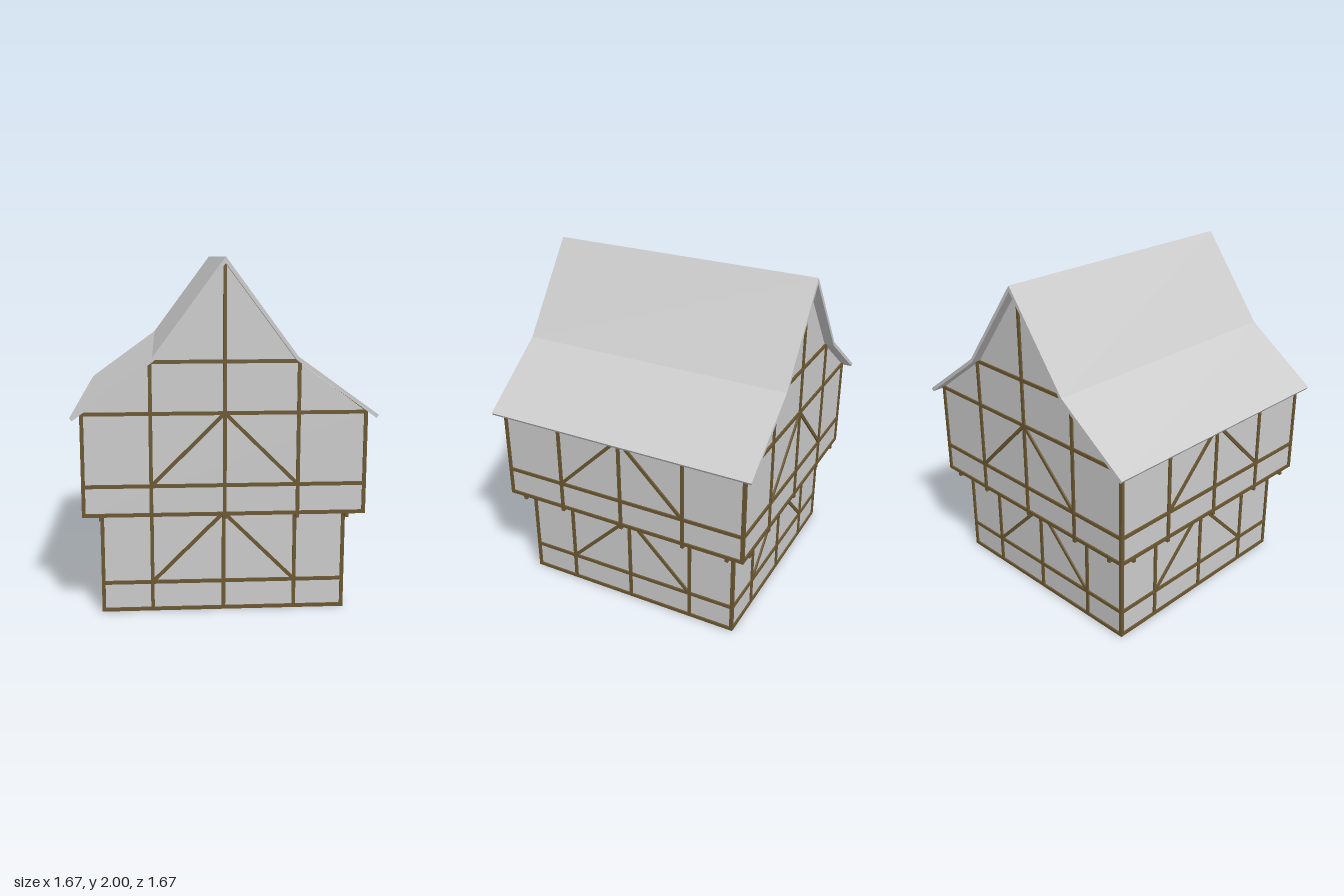
import * as THREE from 'three';

const T = 0.02; // timber thickness
const POST = 0.405; // offset of the intermediate posts

export function createModel() {
  const house = new THREE.Group();
  house.name = 'timberFramedHouse';
  const plaster = new THREE.MeshStandardMaterial({ color: 0xcccccc, flatShading: true });
  const wood = new THREE.MeshStandardMaterial({ color: 0x6b5832, flatShading: true });

  // Extrudes an x-y outline symmetrically along z
  function prism(name, points, depth) {
    const shape = new THREE.Shape(points.map(([x, y]) => new THREE.Vector2(x, y)));
    const geo = new THREE.ExtrudeGeometry(shape, { depth, bevelEnabled: false });
    geo.translate(0, 0, -depth / 2);
    const mesh = new THREE.Mesh(geo, plaster);
    mesh.name = name;
    house.add(mesh);
  }

  // Square timber between two points of a wall plane
  function beam(parent, name, [x1, y1], [x2, y2], z = 0) {
    const length = Math.hypot(x2 - x1, y2 - y1);
    const mesh = new THREE.Mesh(new THREE.BoxGeometry(length, T, T), wood);
    mesh.name = name;
    mesh.position.set((x1 + x2) / 2, (y1 + y2) / 2, z);
    mesh.rotation.z = Math.atan2(y2 - y1, x2 - x1);
    parent.add(mesh);
  }

  // Timber frame of one wall: rails, posts and two diagonal braces
  function wallFrame(name, half, rails, turn) {
    const frame = new THREE.Group();
    frame.name = name;
    const [bottom, middle, top] = rails;
    for (const y of rails) beam(frame, 'rail', [-half - T / 2, y], [half + T / 2, y], half);
    for (const x of [-half, -POST, 0, POST, half]) {
      beam(frame, 'post', [x, bottom], [x, top], half);
    }
    for (const s of [-1, 1]) beam(frame, 'brace', [s * POST, middle], [0, top], half);
    frame.rotation.y = turn;
    house.add(frame);
    return frame;
  }

  // Plastered storeys and gable
  const low = 0.683, up = 0.776;
  prism('lowerStorey', [[-low, 0.004], [low, 0.004], [low, 0.587], [-low, 0.587]], 2 * low);
  prism('upperStorey', [
    [-up, 0.59], [up, 0.59], [up, 1.165], [0.385, 1.45],
    [0, 1.968], [-0.385, 1.45], [-up, 1.165],
  ], 2 * up);

  // Frames on all four sides, with gable timbers at front and back
  for (let i = 0; i < 4; i++) {
    const turn = i * Math.PI / 2;
    wallFrame('lowerFrame', low, [0.011, 0.172, 0.576], turn);
    const frame = wallFrame('upperFrame', up, [0.597, 0.76, 1.163], turn);
    if (i % 2 === 0) {
      beam(frame, 'gableRail', [-0.395, 1.445], [0.395, 1.445], up);
      beam(frame, 'kingPost', [0, 1.163], [0, 1.965], up);
      for (const s of [-1, 1]) beam(frame, 'gablePost', [s * POST, 1.163], [s * POST, 1.445], up);
    }
  }

  // Crossing joists that carry the overhanging storey
  for (const turn of [0, Math.PI / 2]) {
    const joists = new THREE.Group();
    joists.name = 'joists';
    for (const z of [-low, -POST, 0, POST, low]) {
      beam(joists, 'joist', [-up - T / 2, 0.577], [up + T / 2, 0.577], z);
    }
    joists.rotation.y = turn;
    house.add(joists);
  }

  // Thin roof with a flared lower slope
  const outer = [[0.834, 1.154], [0.39, 1.475], [0, 2]];
  const inner = [[0.822, 1.137], [0.382, 1.455], [0, 1.966]];
  const mirror = (pts) => pts.slice(0, 2).reverse().map(([x, y]) => [-x, y]);
  prism('roof', [
    ...outer, ...mirror(outer),
    ...[...inner, ...mirror(inner)].reverse(),
  ], 1.668);

  return house;
}
